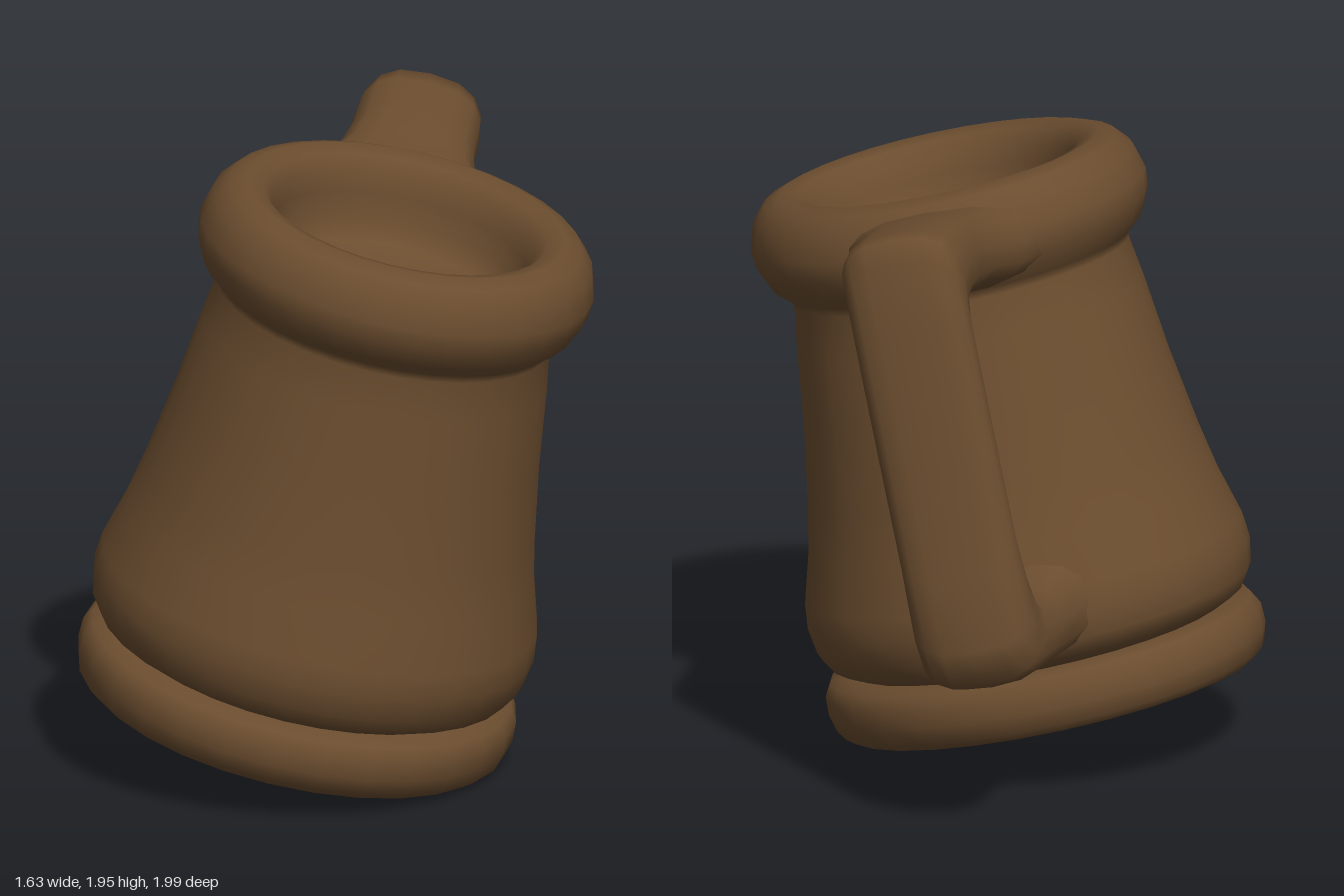
import * as THREE from 'three';
import { toCreasedNormals } from 'three/addons/utils/BufferGeometryUtils.js';

const v2 = (list) => list.map(([x, y]) => new THREE.Vector2(x, y));
const soften = (c) => Math.sign(c) * Math.abs(c) ** 0.75;

// Loft of rounded cross-sections: [inner z, inner y, outer z, outer y, half width]
function loft(stations, x0, sides = 16) {
  const pos = [], index = [];
  for (const [iz, iy, oz, oy, hw] of stations) {
    for (let j = 0; j < sides; j++) {
      const a = (j / sides) * Math.PI * 2;
      const t = 0.5 + 0.5 * soften(Math.cos(a));
      pos.push(x0 + hw * soften(Math.sin(a)), iy + (oy - iy) * t, iz + (oz - iz) * t);
    }
  }
  for (let i = 0; i < stations.length - 1; i++) {
    for (let j = 0; j < sides; j++) {
      const a = i * sides + j, b = i * sides + (j + 1) % sides;
      index.push(a, b, a + sides, b, b + sides, a + sides);
    }
  }
  const geo = new THREE.BufferGeometry();
  geo.setAttribute('position', new THREE.Float32BufferAttribute(pos, 3));
  geo.setIndex(index);
  geo.computeVertexNormals();
  return geo;
}

export function createModel() {
  const brown = new THREE.MeshStandardMaterial({ color: 0x6b4d2f });
  brown.name = 'brown wood';

  const model = new THREE.Group();
  model.name = 'tankard';
  const add = (name, geo) => {
    const mesh = new THREE.Mesh(geo, brown);
    mesh.name = name;
    model.add(mesh);
  };

  // Base disc with rounded edges
  const disc = new THREE.LatheGeometry(v2([
    [0, 0], [0.655, 0], [0.685, 0.025], [0.7, 0.08], [0.698, 0.14], [0.675, 0.18], [0.62, 0.195], [0, 0.2],
  ]), 28);
  add('baseDisc', toCreasedNormals(disc, 0.8));

  // Body with swollen foot, rolled rim and shallow hollow
  add('body', new THREE.LatheGeometry(v2([
    [0.5, 0.19], [0.6, 0.195], [0.66, 0.225], [0.695, 0.28], [0.708, 0.36], [0.7, 0.44], [0.655, 0.6],
    [0.625, 0.75], [0.585, 1.0], [0.555, 1.25], [0.535, 1.38], [0.55, 1.41], [0.595, 1.45], [0.627, 1.52],
    [0.633, 1.58], [0.61, 1.66], [0.565, 1.71], [0.51, 1.73], [0.455, 1.715], [0.42, 1.67], [0.405, 1.61],
    [0.39, 1.53], [0.35, 1.47], [0.22, 1.44], [0, 1.43],
  ]), 32));

  // Handle: flared top arm, flat upright grip, flared lower arm
  add('handle', loft([
    [-0.44, 1.4, -0.44, 1.7, 0.36],
    [-0.56, 1.41, -0.56, 1.69, 0.29],
    [-0.7, 1.44, -0.7, 1.71, 0.225],
    [-0.85, 1.45, -0.85, 1.73, 0.203],
    [-0.98, 1.45, -1.08, 1.745, 0.2],
    [-1.04, 1.41, -1.17, 1.74, 0.195],
    [-1.06, 1.34, -1.205, 1.67, 0.19],
    [-1.07, 1.22, -1.22, 1.45, 0.19],
    [-1.08, 1.0, -1.24, 1.0, 0.19],
    [-1.07, 0.75, -1.27, 0.65, 0.19],
    [-1.045, 0.65, -1.29, 0.42, 0.195],
    [-0.98, 0.56, -1.25, 0.3, 0.195],
    [-0.92, 0.515, -1.1, 0.265, 0.195],
    [-0.76, 0.5, -0.78, 0.24, 0.21],
    [-0.64, 0.55, -0.65, 0.235, 0.25],
    [-0.5, 0.6, -0.5, 0.25, 0.34],
  ], -0.05));

  // The whole tankard leans to its left and slightly forward
  const axis = new THREE.Vector3(0.225, 1, 0.06).normalize();
  model.quaternion.setFromUnitVectors(new THREE.Vector3(0, 1, 0), axis);
  model.position.set(-0.14, 0.152, 0.26);

  const root = new THREE.Group();
  root.name = 'leaningTankard';
  root.add(model);
  return root;
}
